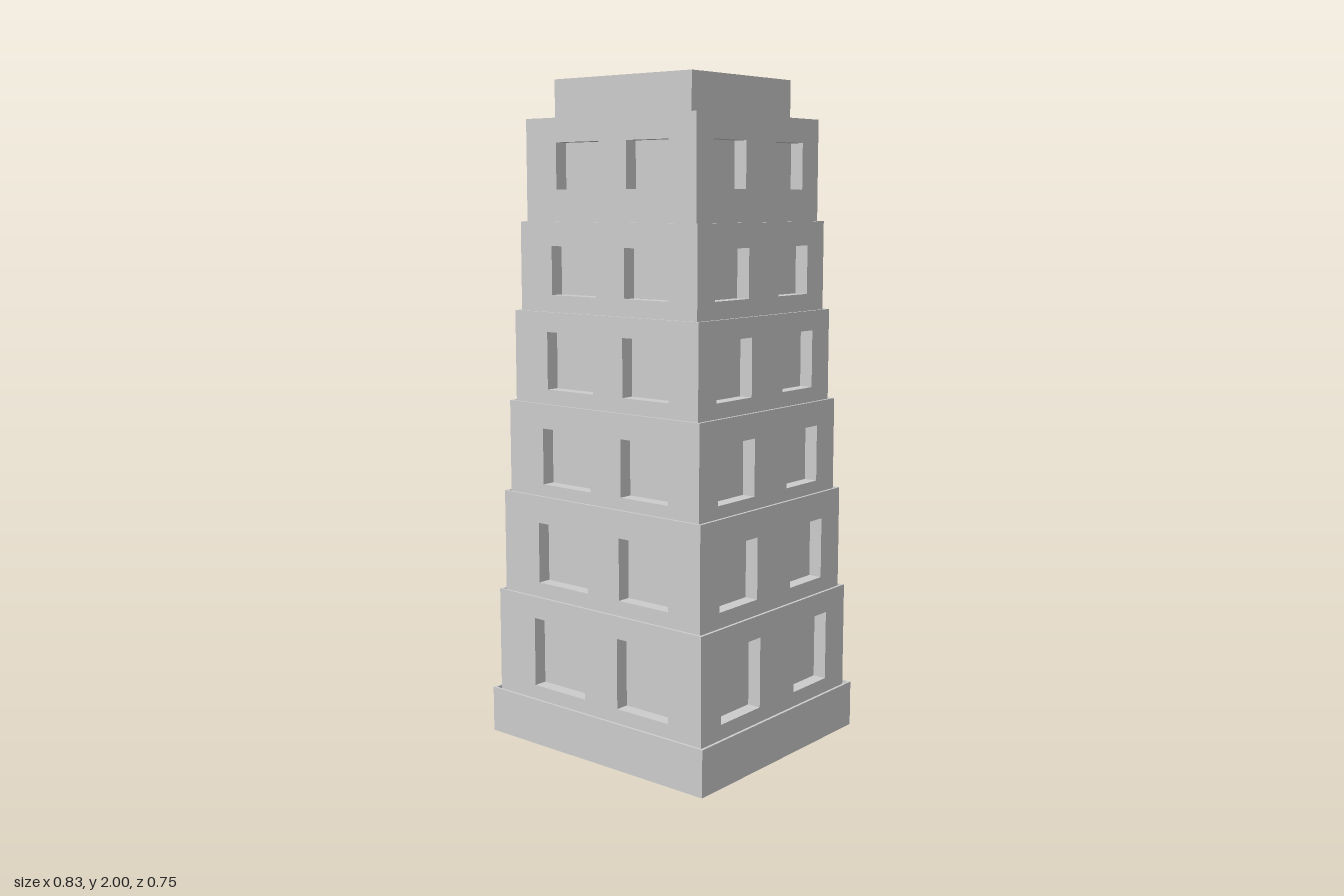
import * as THREE from 'three';
import { mergeGeometries } from 'three/addons/utils/BufferGeometryUtils.js';

const RATIO = 0.903;   // depth of each storey relative to its width
const RIM = 0.0085;    // thickness of the thin lip around each storey
const TRENCH = 0.02;   // drop behind the lip
const RECESS = 0.042;  // window depth

const material = new THREE.MeshStandardMaterial({ color: 0xcccccc, flatShading: true });

// Half width, top height, window bottom, window top
const STOREYS = [
  [0.398, 0.457, 0.178, 0.39],
  [0.383, 0.767, 0.5, 0.685],
  [0.368, 1.046, 0.802, 0.972],
  [0.353, 1.32, 1.089, 1.261],
  [0.338, 1.585, 1.37, 1.514],
  [0.323, 1.885, 1.678, 1.814],
];

// Window spans as fractions of the half length of the wall
const WIDE_SPANS = [[-0.624, -0.104], [0.217, 0.7]];
const NARROW_SPANS = [[-0.745, -0.23], [0.247, 0.722]];

function rectangle(Type, x0, x1, y0, y1) {
  const r = new Type();
  r.moveTo(x0, y0);
  r.lineTo(x1, y0);
  r.lineTo(x1, y1);
  r.lineTo(x0, y1);
  r.closePath();
  return r;
}

// Four upright walls; holes[side] lists [x0, x1, y0, y1], sides run front, +x, back, -x
function wallRing(name, w, d, y0, y1, thickness, holes = [[], [], [], []]) {
  const walls = holes.map((list, side) => {
    const wide = side % 2 === 0;
    const half = wide ? w : d - thickness;
    const shape = rectangle(THREE.Shape, -half, half, y0, y1);
    for (const h of list) shape.holes.push(rectangle(THREE.Path, ...h));
    const wall = new THREE.ExtrudeGeometry(shape, { depth: thickness, bevelEnabled: false });
    wall.translate(0, 0, (wide ? d : w) - thickness);
    return wall.rotateY(side * Math.PI / 2);
  });
  const mesh = new THREE.Mesh(mergeGeometries(walls), material);
  mesh.name = name;
  return mesh;
}

function block(name, x0, x1, y0, y1, z0, z1) {
  const mesh = new THREE.Mesh(new THREE.BoxGeometry(x1 - x0, y1 - y0, z1 - z0), material);
  mesh.position.set((x0 + x1) / 2, (y0 + y1) / 2, (z0 + z1) / 2);
  mesh.name = name;
  return mesh;
}

// Thin outer wall, lower lining behind it, and a solid core that closes the openings
function storey(name, w, d, y0, y1, recess, drop, holes) {
  const group = new THREE.Group();
  group.name = name;
  const cw = w - recess, cd = d - recess;
  group.add(
    wallRing('outerWall', w, d, y0, y1, RIM, holes),
    wallRing('wallLining', w - RIM, d - RIM, y0, y1 - drop, recess - RIM, holes),
    block('core', -cw, cw, y0, y1 - drop, -cd, cd),
  );
  return group;
}

export function createModel() {
  const model = new THREE.Group();
  model.name = 'tower';

  // Plinth with a shallow doorway on the -x side
  const baseW = 0.417, baseD = 0.377, baseTop = 0.14;
  const doorway = [-0.095, 0.085, 0.004, 0.108];
  const plinth = storey('plinth', baseW, baseD, 0, baseTop, 0.018, TRENCH, [[], [], [], [doorway]]);
  plinth.add(block('doorHead', -baseW + RIM, -0.398, 0.109, baseTop, -0.095, 0.085));
  model.add(plinth);

  // Stepped storeys, two windows on each wall
  let bottom = baseTop - TRENCH;
  STOREYS.forEach(([w, top, sill, head], i) => {
    const d = w * RATIO;
    const drop = i === STOREYS.length - 1 ? 0 : TRENCH;
    const windows = (spans, half) => spans.map(([a, b]) => [a * half, b * half, sill, head]);
    const wide = windows(WIDE_SPANS, w);
    const narrow = windows(NARROW_SPANS, d);
    model.add(storey(`storey${i + 1}`, w, d, bottom, top, RECESS, drop, [wide, narrow, wide, narrow]));
    bottom = top - drop;
  });

  // Roof parapet around a sunken floor
  const parapetW = 0.26, parapetD = 0.234, thickness = 0.0175;
  const fw = parapetW - thickness, fd = parapetD - thickness;
  model.add(
    wallRing('parapet', parapetW, parapetD, bottom, 2, thickness),
    block('roofFloor', -fw, fw, bottom, 1.91, -fd, fd),
  );
  return model;
}
